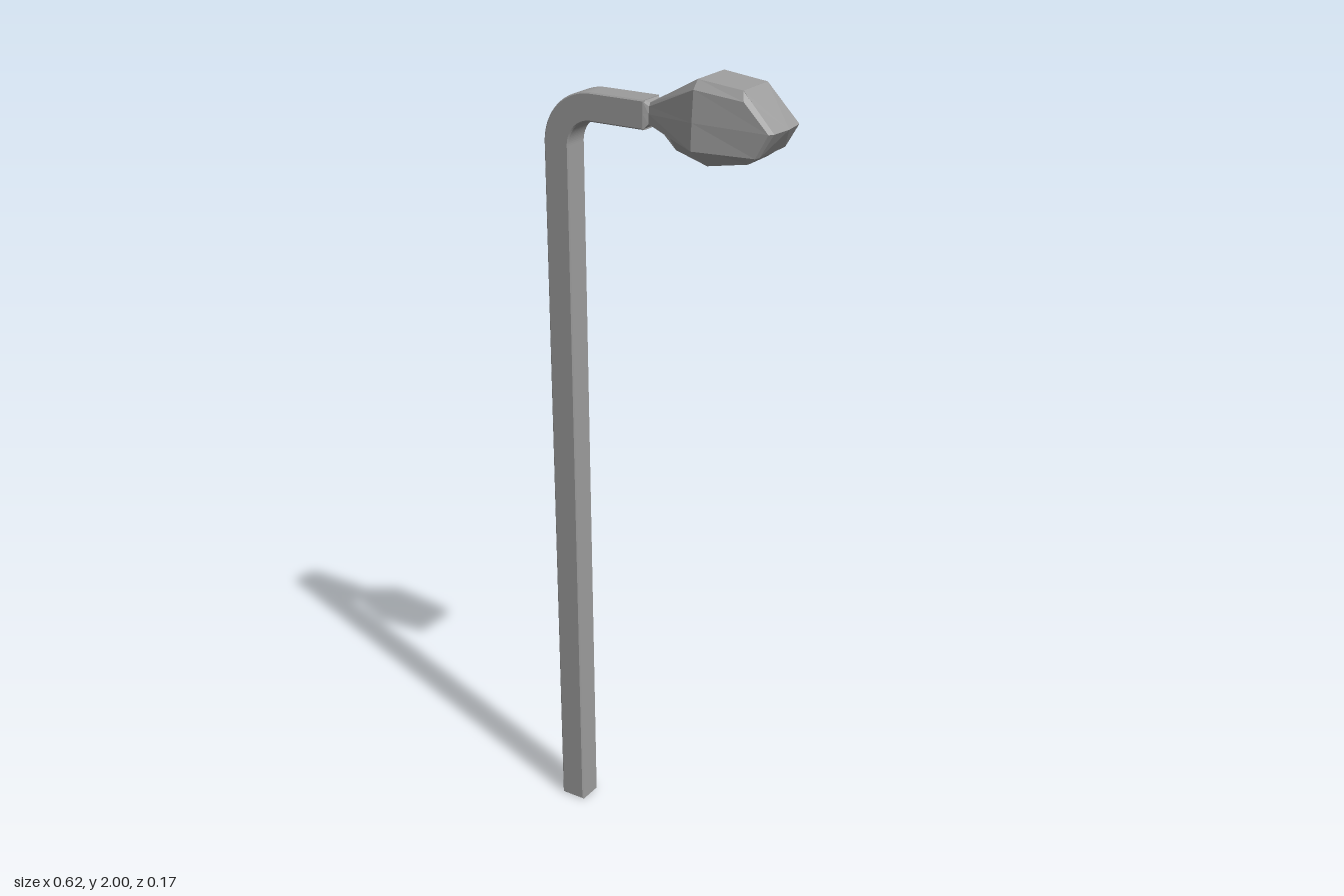
import * as THREE from 'three';

const material = new THREE.MeshStandardMaterial({ color: 0x9c9c9c, flatShading: true });

// Skin mirrored cross-sections; each half is a list of [x, y, halfWidth] from top to bottom.
function loft(halves, noseTip) {
  const rings = halves.map(h => [
    ...h,
    ...[...h].reverse().map(([x, y, w]) => [x, y, -w]),
  ]);
  const n = rings[0].length, pos = [];
  const tri = (a, b, c) => pos.push(...a, ...b, ...c);
  for (let i = 0; i < rings.length - 1; i++) {
    for (let j = 0; j < n; j++) {
      const k = (j + 1) % n;
      const a = rings[i][j], b = rings[i][k], c = rings[i + 1][k], d = rings[i + 1][j];
      tri(a, b, c);
      tri(a, c, d);
    }
  }
  // End caps
  const first = rings[0], last = rings[rings.length - 1];
  for (let j = 0; j < n; j++) {
    const k = (j + 1) % n;
    tri(noseTip, last[j], last[k]);
    if (j > 0 && k > 0) tri(first[0], first[k], first[j]);
  }
  const g = new THREE.BufferGeometry();
  g.setAttribute('position', new THREE.Float32BufferAttribute(pos, 3));
  g.computeVertexNormals();
  return g;
}

function part(name, geometry) {
  const mesh = new THREE.Mesh(geometry, material);
  mesh.name = name;
  return mesh;
}

export function createModel() {
  const group = new THREE.Group();
  group.name = 'streetLamp';

  // Square post bending into the arm
  const s = new THREE.Shape();
  s.moveTo(-0.311, 0);
  s.lineTo(-0.244, 0);
  s.lineTo(-0.244, 1.8);
  s.absarc(-0.18, 1.8, 0.064, Math.PI, Math.PI / 2, true);
  s.lineTo(-0.037, 1.864);
  s.lineTo(-0.037, 1.931);
  s.lineTo(-0.18, 1.931);
  s.absarc(-0.18, 1.8, 0.131, Math.PI / 2, Math.PI, false);
  s.closePath();
  const bevel = 0.003;
  const post = new THREE.ExtrudeGeometry(s, {
    depth: 0.067 - 2 * bevel, curveSegments: 12,
    bevelEnabled: true, bevelSize: bevel, bevelThickness: bevel, bevelOffset: -bevel, bevelSegments: 1,
  });
  post.translate(0, 0, -0.0335 + bevel);
  group.add(part('postAndArm', post));

  // Faceted housing: arm end, neck, belly, front edge, chamfered nose
  group.add(part('lampHousing', loft([
    [[-0.04, 1.931, 0.03], [-0.04, 1.928, 0.033], [-0.04, 1.9, 0.033], [-0.04, 1.864, 0.033]],
    [[-0.028, 1.925, 0.02], [-0.028, 1.917, 0.025], [-0.028, 1.9, 0.027], [-0.028, 1.878, 0.028]],
    [[0.115, 2.0, 0.055], [0.115, 1.98, 0.073], [0.115, 1.91, 0.08], [0.115, 1.849, 0.084]],
    [[0.225, 1.988, 0.052], [0.235, 1.967, 0.066], [0.296, 1.905, 0.066], [0.266, 1.85, 0.068]],
    [[0.226, 1.988, 0.052], [0.25, 1.962, 0.053], [0.304, 1.905, 0.055], [0.27, 1.85, 0.056]],
  ], [0.31, 1.905, 0])));

  // Lens tapering in under the housing
  group.add(part('lens', loft([
    [[0.015, 1.875, 0.03], [0.015, 1.86, 0.03]],
    [[0.05, 1.86, 0.05], [0.05, 1.833, 0.038]],
    [[0.135, 1.85, 0.066], [0.135, 1.811, 0.046]],
    [[0.235, 1.85, 0.058], [0.235, 1.828, 0.042]],
    [[0.265, 1.86, 0.052], [0.265, 1.849, 0.048]],
  ], [0.265, 1.855, 0])));

  return group;
}
